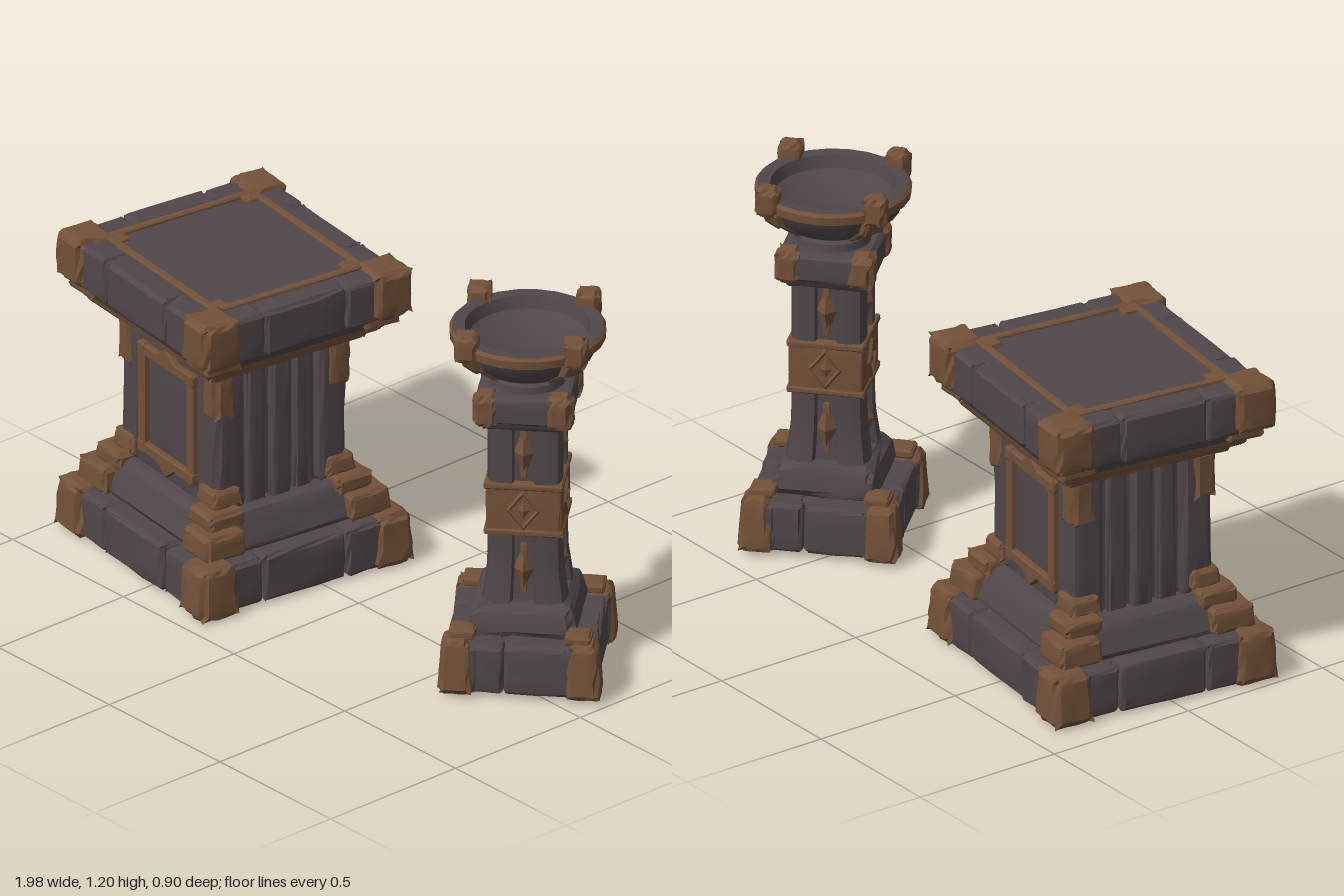
import * as THREE from 'three';
import { toCreasedNormals } from 'three/addons/utils/BufferGeometryUtils.js';

const stone = new THREE.MeshStandardMaterial({ color: 0x50474a });
stone.name = 'dark stone';
const bronze = new THREE.MeshStandardMaterial({ color: 0x735139 });
bronze.name = 'aged bronze';

let seed = 0;
const hash = (a, b, c) => {
  const s = Math.sin(a * 12.99 + b * 78.23 + c * 37.72 + seed * 4.13) * 43758.55;
  return s - Math.floor(s);
};

function add(parent, name, geometry, material, x = 0, y = 0, z = 0) {
  const mesh = new THREE.Mesh(geometry, material);
  mesh.name = name;
  mesh.position.set(x, y, z);
  parent.add(mesh);
  return mesh;
}

// Worn block standing on its y: bevelled, chipped along the edges, inset at the top by taper
function block(parent, name, mat, [w, h, d], [x, y, z], { taper = 0, bevel = 0.014 } = {}) {
  seed++;
  const n = 5, size = [w, h, d];
  const b = Math.min(bevel, w / 4, h / 4, d / 4);
  const geo = new THREE.BoxGeometry(1, 1, 1, n, n, n);
  const p = geo.attributes.position;
  for (let i = 0; i < p.count; i++) {
    const g = [p.getX(i), p.getY(i), p.getZ(i)].map((c) => Math.round((c + 0.5) * n));
    const rnd = hash(...g);
    const onEdge = g.filter((k) => k === 0 || k === n).length > 1;
    const v = g.map((k, a) => {
      const L = size[a];
      if (k === 0 || k === n) {
        const pull = onEdge ? b * (0.25 + 0.5 * rnd) : b * 0.15 * rnd;
        return (k ? 1 : -1) * (L / 2 - pull);
      }
      return -L / 2 + b + ((k - 1) / (n - 2)) * (L - 2 * b);
    });
    const t = v[1] / h + 0.5;
    p.setXYZ(i, v[0] * (1 - (2 * taper * t) / w), v[1] + h / 2, v[2] * (1 - (2 * taper * t) / d));
  }
  return add(parent, name, toCreasedNormals(geo, 0.5), mat, x, y, z);
}

// Four matching blocks whose outer corners lie on a w by d rectangle
function corners(parent, name, mat, w, d, s, y, h, opt) {
  for (const sx of [-1, 1]) for (const sz of [-1, 1])
    block(parent, name, mat, [s, h, s], [sx * (w - s) / 2, y, sz * (d - s) / 2], opt);
}

// One turned group for each side; its +z points outwards
function sides(parent, name, w, d, build) {
  for (let k = 0; k < 4; k++) {
    const side = new THREE.Group();
    side.name = name;
    side.rotation.y = (k * Math.PI) / 2;
    parent.add(side);
    build(side, k % 2 ? d : w, (k % 2 ? w : d) / 2, k);
  }
}

// Solid core with a row of uneven stones along every side
function course(parent, name, w, d, y, h, count, thick) {
  block(parent, name + 'Core', stone, [w - thick, h - 0.008, d - thick], [0, y, 0]);
  sides(parent, name + 'Stones', w, d, (side, len, dist) => {
    let x = -len / 2;
    for (let i = 0; i < count; i++) {
      const l = (len / count) * (i === 1 ? 1.2 : 1 - 0.2 / (count - 1));
      const out = 0.008 * hash(i, len, dist);
      block(side, name + 'Stone', stone, [l, h - out, thick], [x + l / 2, y, dist - thick / 2 - out]);
      x += l;
    }
  });
}

// Rectangular frame with pointed top and bottom
function pictureFrame(parent, y, z) {
  const outline = (w, h, tip) => [
    [-w, -h], [-0.045, -h], [0, -h - tip], [0.045, -h], [w, -h],
    [w, h], [0.045, h], [0, h + tip], [-0.045, h], [-w, h],
  ].map((q) => new THREE.Vector2(...q));
  const shape = new THREE.Shape(outline(0.143, 0.178, 0.035));
  shape.holes.push(new THREE.Path(outline(0.117, 0.152, 0)));
  const geo = new THREE.ExtrudeGeometry(shape, {
    depth: 0.018, bevelEnabled: true, bevelSize: 0.004, bevelThickness: 0.005, bevelSegments: 1,
  });
  add(parent, 'panelFrame', geo, bronze, 0, y, z);
  for (const sx of [-1, 1]) for (const sy of [-1, 1])
    block(parent, 'frameCorner', bronze, [0.04, 0.045, 0.028], [sx * 0.13, y + sy * 0.165 - 0.022, z + 0.012]);
}

function pedestal() {
  const g = new THREE.Group();
  g.name = 'pedestal';
  // Stepped base
  course(g, 'base', 0.78, 0.74, 0.005, 0.16, 3, 0.12);
  corners(g, 'baseCorner', bronze, 0.82, 0.78, 0.15, 0, 0.175, { taper: 0.012, bevel: 0.025 });
  block(g, 'baseStep', stone, [0.68, 0.12, 0.64], [0, 0.16, 0], { taper: 0.05, bevel: 0.02 });
  corners(g, 'stepCorner', bronze, 0.71, 0.67, 0.15, 0.165, 0.085, { taper: 0.005 });
  corners(g, 'upperStepCorner', bronze, 0.63, 0.59, 0.13, 0.24, 0.06);
  corners(g, 'postFoot', bronze, 0.56, 0.52, 0.11, 0.29, 0.065, { taper: 0.008 });
  // Body with corner posts
  block(g, 'body', stone, [0.46, 0.5, 0.42], [0, 0.26, 0]);
  corners(g, 'cornerPost', stone, 0.52, 0.48, 0.11, 0.27, 0.48, { bevel: 0.022 });
  corners(g, 'postTop', bronze, 0.54, 0.5, 0.085, 0.58, 0.17, { bevel: 0.03 });
  sides(g, 'bodySide', 0.46, 0.42, (side, len, dist, k) => {
    if (k % 2 === 0) {
      block(side, 'panel', stone, [0.36, 0.48, 0.04], [0, 0.27, dist + 0.002]);
      pictureFrame(side, 0.51, dist + 0.018);
    } else {
      for (const x of [-0.085, 0, 0.085])
        block(side, 'pilaster', stone, [0.066, 0.48, 0.04], [x, 0.27, dist + (x ? 0 : 0.008)]);
    }
  });
  // Mouldings below the slab
  block(g, 'lowerMoulding', bronze, [0.59, 0.035, 0.55], [0, 0.74, 0], { taper: -0.01 });
  block(g, 'upperMoulding', bronze, [0.66, 0.045, 0.62], [0, 0.768, 0], { taper: -0.012 });
  block(g, 'slabUnderside', stone, [0.71, 0.05, 0.65], [0, 0.8, 0], { taper: -0.025 });
  corners(g, 'undersideCorner', bronze, 0.76, 0.7, 0.13, 0.805, 0.06);
  // Top slab
  course(g, 'slab', 0.79, 0.73, 0.835, 0.155, 3, 0.095);
  corners(g, 'slabCorner', bronze, 0.82, 0.76, 0.14, 0.84, 0.16, { bevel: 0.022 });
  sides(g, 'topInlay', 0.61, 0.55, (side, len, dist) => {
    block(side, 'inlayStrip', bronze, [len, 0.02, 0.026], [0, 0.972, dist - 0.013], { bevel: 0.005 });
  });
  corners(g, 'inlayCorner', bronze, 0.6, 0.54, 0.06, 0.971, 0.02, { bevel: 0.005 });
  return g;
}

function column() {
  const g = new THREE.Group();
  g.name = 'column';
  // Base
  course(g, 'columnBase', 0.465, 0.465, 0.02, 0.165, 2, 0.1);
  corners(g, 'columnBaseCorner', bronze, 0.5, 0.5, 0.115, 0.015, 0.185, { taper: 0.014, bevel: 0.022 });
  corners(g, 'columnBaseCornerCap', bronze, 0.43, 0.43, 0.08, 0.19, 0.03);
  block(g, 'columnStep', stone, [0.345, 0.11, 0.345], [0, 0.175, 0], { taper: 0.025, bevel: 0.035 });
  // Shaft: chamfered corners and a recess down each face
  const shape = new THREE.Shape();
  const quarter = [[-0.078, 0.117], [-0.036, 0.117], [-0.03, 0.095], [0.03, 0.095], [0.036, 0.117], [0.078, 0.117], [0.108, 0.108]];
  const pts = [];
  for (let k = 0; k < 4; k++) for (const q of quarter)
    pts.push(new THREE.Vector2(...q).rotateAround(new THREE.Vector2(), (-k * Math.PI) / 2));
  shape.setFromPoints(pts);
  const shaft = new THREE.ExtrudeGeometry(shape, { depth: 0.62, steps: 10, bevelEnabled: false });
  shaft.rotateX(-Math.PI / 2);
  const p = shaft.attributes.position;
  for (let i = 0; i < p.count; i++) {
    const y = p.getY(i), s = 0.96 + 0.16 * Math.max(0, 1 - y / 0.14);
    p.setXYZ(i, p.getX(i) * s, y, p.getZ(i) * s);
  }
  add(g, 'shaft', toCreasedNormals(shaft, 0.5), stone, 0, 0.26, 0);
  // Band and face ornaments
  block(g, 'band', bronze, [0.23, 0.17, 0.23], [0, 0.505, 0], { bevel: 0.008 });
  for (const y of [0.502, 0.655]) block(g, 'bandEdge', bronze, [0.24, 0.022, 0.24], [0, y, 0], { bevel: 0.006 });
  sides(g, 'columnFace', 0.23, 0.23, (side, len, dist) => {
    const ring = add(side, 'diamondFrame', new THREE.TorusGeometry(0.045, 0.008, 4, 4).toNonIndexed(), bronze, 0, 0.59, dist);
    ring.geometry.computeVertexNormals();
    ring.scale.set(1, 1.3, 1);
    add(side, 'diamond', new THREE.OctahedronGeometry(1), bronze, 0, 0.59, dist).scale.set(0.02, 0.03, 0.01);
    for (const y of [0.385, 0.775]) {
      add(side, 'spike', new THREE.OctahedronGeometry(1), bronze, 0, y, 0.093).scale.set(0.031, 0.085, 0.03);
      block(side, 'spikeStem', bronze, [0.022, 0.17, 0.02], [0, y - 0.085, 0.092], { bevel: 0.004 });
    }
  });
  // Capital
  block(g, 'capitalUnderside', stone, [0.24, 0.04, 0.24], [0, 0.855, 0], { taper: -0.02 });
  block(g, 'capital', stone, [0.29, 0.1, 0.29], [0, 0.878, 0], { bevel: 0.016 });
  corners(g, 'capitalCorner', bronze, 0.308, 0.308, 0.085, 0.872, 0.112, { bevel: 0.024 });
  // Neck and bowl
  const lathe = (name, mat, prof) => add(g, name,
    toCreasedNormals(new THREE.LatheGeometry(prof.map((q) => new THREE.Vector2(...q)), 24), 0.6), mat);
  lathe('neck', stone, [[0, 0.97], [0.115, 0.97], [0.11, 1.0], [0.09, 1.005], [0.09, 1.035]]);
  lathe('bowlOutside', stone, [[0, 1.022], [0.11, 1.022], [0.15, 1.035], [0.2, 1.075], [0.222, 1.125]]);
  lathe('bowlRim', bronze, [[0.215, 1.12], [0.235, 1.124], [0.237, 1.15], [0.228, 1.16]]);
  lathe('bowlInside', stone, [[0.228, 1.16], [0.19, 1.158], [0.178, 1.12], [0.14, 1.095], [0, 1.085]]);
  corners(g, 'bowlHorn', bronze, 0.405, 0.405, 0.076, 1.11, 0.095, { bevel: 0.018 });
  // Ribs running up under the horns
  for (let k = 0; k < 4; k++) {
    const rib = new THREE.Group();
    rib.name = 'bowlRib';
    rib.rotation.y = Math.PI / 4 + (k * Math.PI) / 2;
    g.add(rib);
    block(rib, 'ribLower', bronze, [0.075, 0.1, 0.03], [0, 1.035, 0.135]).rotation.x = 0.92;
    block(rib, 'ribUpper', bronze, [0.075, 0.075, 0.035], [0, 1.075, 0.205]).rotation.x = 0.45;
  }
  return g;
}

export function createModel() {
  seed = 0;
  const model = new THREE.Group();
  model.name = 'pedestalAndColumn';
  const left = pedestal();
  left.position.set(-0.54, 0.005, 0.02);
  left.rotation.y = -0.135;
  const right = column();
  right.position.set(0.645, 0, -0.105);
  right.rotation.y = Math.PI / 4 - 0.06;
  model.add(left, right);
  return model;
}
